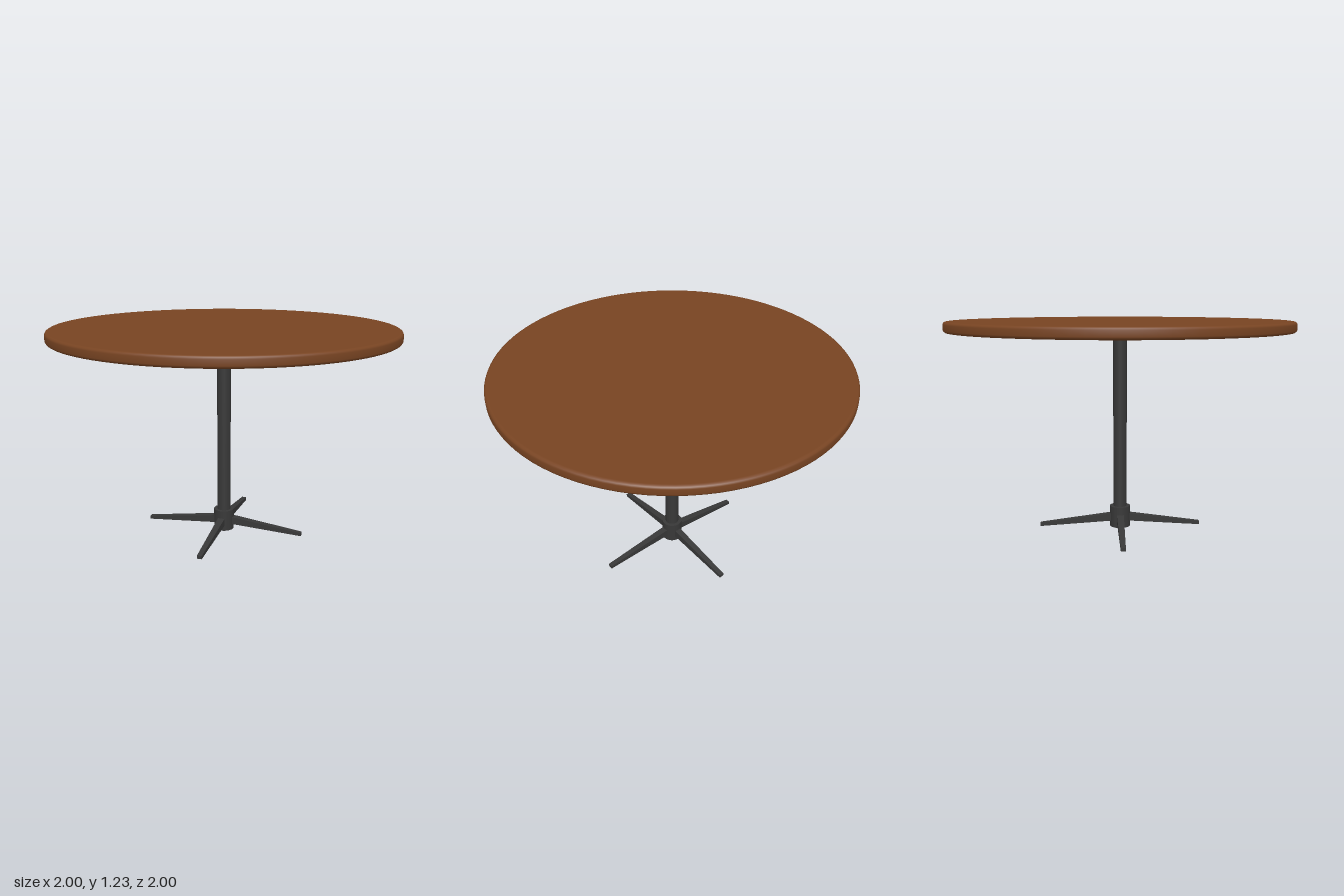
import * as THREE from 'three';

const wood = new THREE.MeshStandardMaterial({ color: 0x784422 });
wood.name = 'brown wood';
const metal = new THREE.MeshStandardMaterial({ color: 0x383838 });
metal.name = 'dark metal';

function part(name, geometry, material, parent) {
  const mesh = new THREE.Mesh(geometry, material);
  mesh.name = name;
  parent.add(mesh);
  return mesh;
}

// Upright cylinder between two heights
function post(radius, y0, y1) {
  return new THREE.CylinderGeometry(radius, radius, y1 - y0, 32).translate(0, (y0 + y1) / 2, 0);
}

// Foot arm along +x: a box narrowing and sloping down to its tip
function footGeometry() {
  const geometry = new THREE.BoxGeometry(1, 1, 1);
  const p = geometry.attributes.position;
  for (let i = 0; i < p.count; i++) {
    const tip = p.getX(i) > 0;
    const up = p.getY(i) > 0;
    const halfWidth = tip ? 0.014 : 0.021;
    const y = tip ? (up ? 0.023 : 0.004) : (up ? 0.082 : 0.036);
    p.setXYZ(i, tip ? 0.48 : 0.03, y, Math.sign(p.getZ(i)) * halfWidth);
  }
  geometry.computeVertexNormals();
  return geometry;
}

export function createModel() {
  const table = new THREE.Group();
  table.name = 'pedestalTable';

  // Round top with softly eased edges
  const profile = [
    [0, 1.17], [0.98, 1.17], [0.988, 1.171], [0.996, 1.176], [1, 1.185],
    [1, 1.215], [0.996, 1.224], [0.988, 1.229], [0.98, 1.23], [0, 1.23],
  ].map(([x, y]) => new THREE.Vector2(x, y));
  part('tableTop', new THREE.LatheGeometry(profile, 96), wood, table);

  // Column and the hub it stands in
  part('column', post(0.04, 0.1, 1.155), metal, table);
  part('hub', post(0.06, 0, 0.125), metal, table);

  // Four feet in a cross
  const feet = new THREE.Group();
  feet.name = 'feet';
  table.add(feet);
  const foot = footGeometry();
  for (let i = 0; i < 4; i++) {
    part('foot', foot, metal, feet).rotation.y = (i * Math.PI) / 2;
  }
  return table;
}
